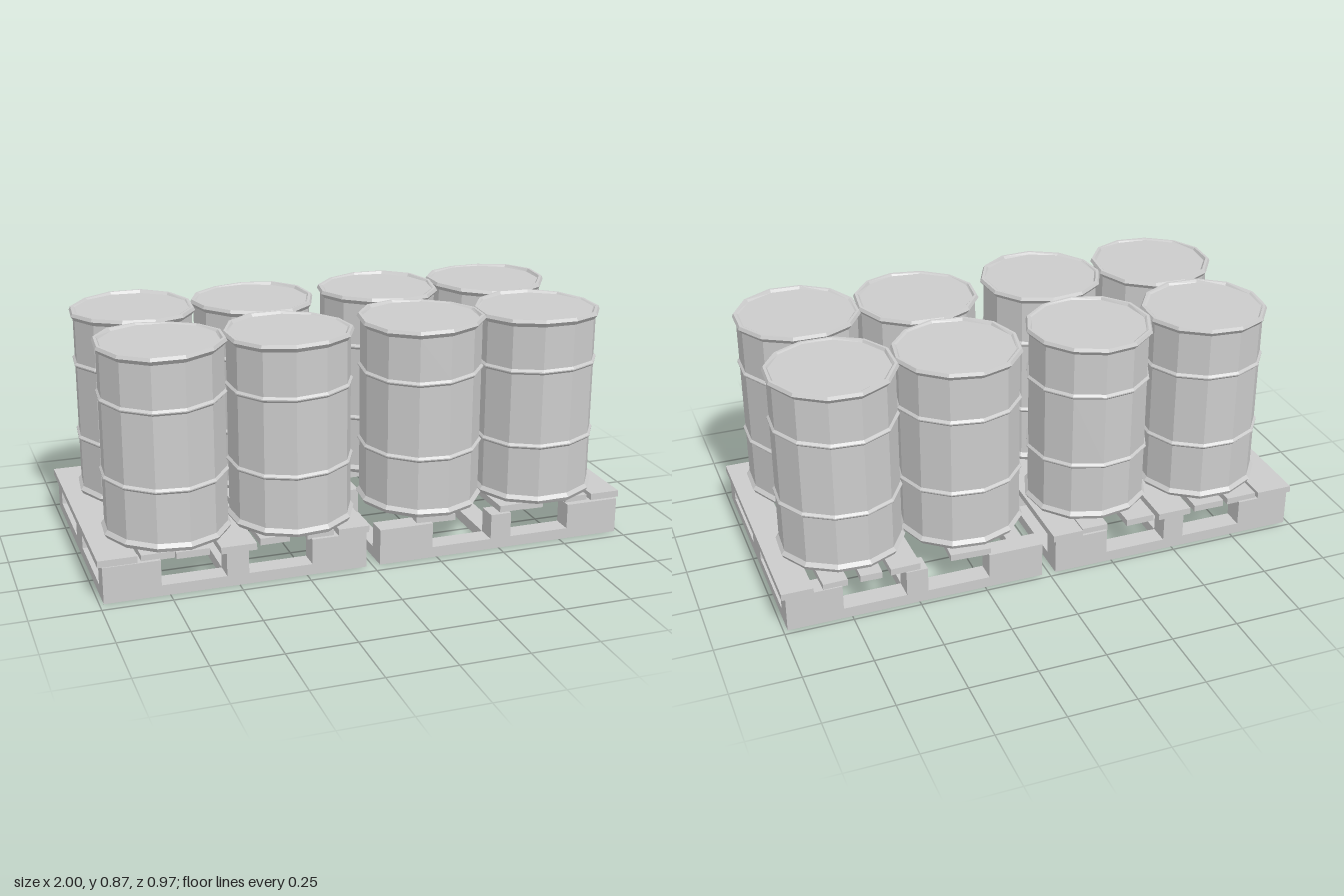
import * as THREE from 'three';

const grey = new THREE.MeshStandardMaterial({ color: 0xcccccc, flatShading: true });

function box(parent, name, [x0, x1], [y0, y1], [z0, z1]) {
  const mesh = new THREE.Mesh(new THREE.BoxGeometry(x1 - x0, y1 - y0, z1 - z0), grey);
  mesh.position.set((x0 + x1) / 2, (y0 + y1) / 2, (z0 + z1) / 2);
  mesh.name = name;
  parent.add(mesh);
  return mesh;
}

// Twelve-sided steel drum: flared rims, two rolling hoops and a slightly sunken lid
const drumProfile = [
  [0, 0.165], [0.215, 0.162], [0.226, 0.162], [0.235, 0.178], [0.223, 0.192],
  [0.223, 0.376], [0.231, 0.384], [0.231, 0.388], [0.223, 0.396],
  [0.223, 0.66], [0.231, 0.668], [0.231, 0.672], [0.223, 0.68],
  [0.223, 0.838], [0.236, 0.854], [0.23, 0.866], [0.22, 0.866], [0.213, 0.859], [0, 0.859],
].map(([r, y]) => new THREE.Vector2(r, y));

function makeDrum(x, z, turn, phase) {
  const geo = new THREE.LatheGeometry(drumProfile, 12);
  const p = geo.attributes.position;
  // Gentle dents: the rims and hoops run slightly uneven round the drum
  for (let i = 0; i < p.count; i++) {
    const r = Math.hypot(p.getX(i), p.getZ(i));
    if (r < 0.218) continue;
    const a = Math.atan2(p.getX(i), p.getZ(i));
    const y = p.getY(i);
    p.setY(i, Math.max(0.16, y + 0.004 * Math.sin(2 * a + phase + y * 3)));
    const k = 1 + 0.007 * Math.sin(3 * a + phase);
    p.setX(i, p.getX(i) * k);
    p.setZ(i, p.getZ(i) * k);
  }
  geo.computeVertexNormals();
  const drum = new THREE.Mesh(geo, grey);
  drum.name = 'drum';
  drum.position.set(x, 0, z);
  drum.rotation.y = THREE.MathUtils.degToRad(turn);
  return drum;
}

// Pallet: bottom frame, spacer blocks and deck planks running front to back
function makePallet(name, x0, x1, planks) {
  const pallet = new THREE.Group();
  pallet.name = name;
  const zBack = -0.48, zFront = 0.455, mid = (x0 + x1) / 2;
  const rail = [0, 0.04], block = [0.04, 0.135];
  const ends = [[zBack, zBack + 0.078], [zFront - 0.078, zFront]];
  const sides = [[x0, x0 + 0.06], [mid - 0.04, mid + 0.04], [x1 - 0.06, x1]];
  const corners = [[x0, x0 + 0.205], [mid - 0.04, mid + 0.04], [x1 - 0.205, x1]];
  for (const z of ends) {
    box(pallet, 'crossRail', [x0, x1], rail, z);
    for (const x of corners) box(pallet, 'endBlock', x, block, z);
  }
  for (const x of sides) {
    box(pallet, 'longRail', x, rail, [ends[0][1], ends[1][0]]);
    box(pallet, 'middleBlock', x, block, [-0.07, 0.05]);
  }
  // Each plank: x range, z range, slant in degrees, drop below deck level
  for (const [xr, zr, slant = 0, drop = 0] of planks) {
    const plank = box(pallet, 'deckPlank', xr, [0.135 - drop, 0.16 - drop], zr);
    plank.rotation.y = THREE.MathUtils.degToRad(slant);
  }
  return pallet;
}

export function createModel() {
  const model = new THREE.Group();
  model.name = 'drumsOnPallets';

  model.add(makePallet('rightPallet', -0.985, -0.025, [
    [[-1, -0.86], [-0.48, 0.45]],
    [[-0.85, -0.73], [-0.47, 0.44], 0.5, 0.004],
    [[-0.72, -0.6], [-0.47, 0.45], -0.5, 0.006],
    [[-0.57, -0.44], [-0.485, 0.475]],
    [[-0.42, -0.31], [-0.47, 0.43], 0.6, 0.006],
    [[-0.24, -0.14], [-0.47, 0.44], -0.5, 0.004],
    [[-0.13, -0.015], [-0.485, 0.455]],
  ]));
  // Worn pallet with a missing edge plank and loose boards
  model.add(makePallet('leftPallet', 0.028, 0.985, [
    [[0.2, 0.35], [-0.465, 0.44], -3, 0.004],
    [[0.5, 0.61], [-0.475, 0.44], 1],
    [[0.62, 0.7], [-0.47, 0.43], -1.5, 0.006],
    [[0.77, 0.86], [-0.475, 0.43], 1.5, 0.004],
    [[0.885, 1], [-0.49, 0.44]],
  ]));

  const drums = [
    [-0.71, -0.225, 10], [-0.25, -0.215, 24], [-0.71, 0.235, 10], [-0.25, 0.25, 20],
    [0.26, -0.225, 5], [0.715, -0.22, 13], [0.26, 0.235, 8], [0.715, 0.25, 13],
  ];
  drums.forEach(([x, z, turn], i) => model.add(makeDrum(x, z, turn, i * 1.7)));
  return model;
}
